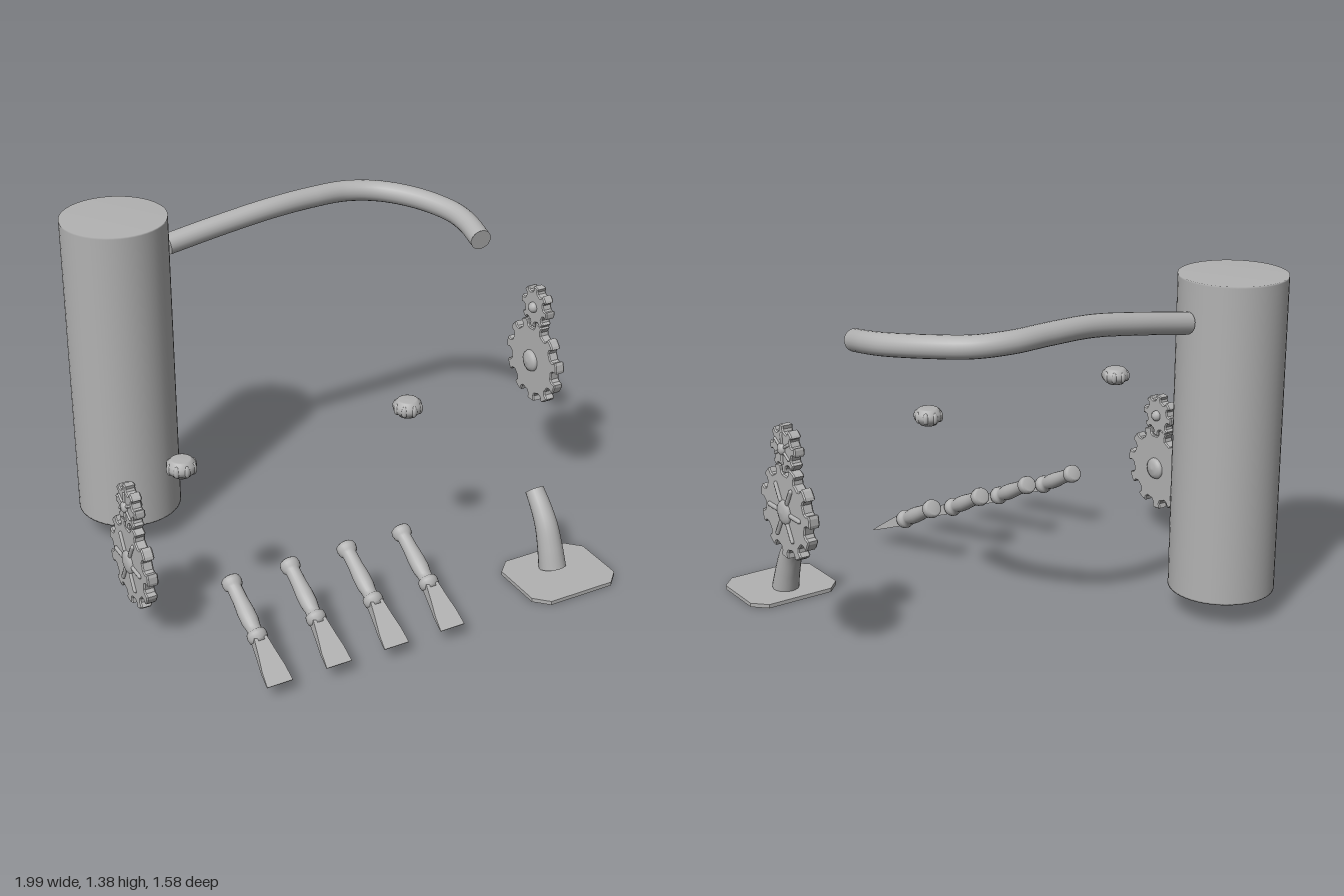
import * as THREE from 'three';

const steel = new THREE.MeshStandardMaterial({ color: 0xb2b2b2 });
steel.name = 'grey steel';

function add(parent, name, geometry, x = 0, y = 0, z = 0) {
  const mesh = new THREE.Mesh(geometry, steel);
  mesh.name = name;
  mesh.position.set(x, y, z);
  parent.add(mesh);
  return mesh;
}

function group(parent, name, x = 0, y = 0, z = 0) {
  const g = new THREE.Group();
  g.name = name;
  g.position.set(x, y, z);
  parent.add(g);
  return g;
}

// profile rows are [radius, height], listed from bottom to top
const lathe = (rows, sides) =>
  new THREE.LatheGeometry(rows.map(([r, h]) => new THREE.Vector2(r, h)), sides);

// round bar along a curve, tapering from r0 to r1, closed at both ends
function bar(parent, name, points, r0, r1, segments) {
  const curve = new THREE.CatmullRomCurve3(points.map(p => new THREE.Vector3(...p)));
  const sides = 20;
  const geo = new THREE.TubeGeometry(curve, segments, 1, sides);
  const pos = geo.attributes.position;
  const v = new THREE.Vector3();
  for (let i = 0; i < pos.count; i++) {
    const t = Math.floor(i / (sides + 1)) / segments;
    const c = curve.getPointAt(t);
    v.fromBufferAttribute(pos, i).sub(c).multiplyScalar(r0 + (r1 - r0) * t).add(c);
    pos.setXYZ(i, v.x, v.y, v.z);
  }
  const g = group(parent, name);
  add(g, name + 'Body', geo);
  [[0, r0, -1], [1, r1, 1]].forEach(([t, r, sign]) => {
    const c = curve.getPointAt(t);
    const cap = add(g, name + 'End', new THREE.CircleGeometry(r, sides), c.x, c.y, c.z);
    cap.quaternion.setFromUnitVectors(
      new THREE.Vector3(0, 0, 1), curve.getTangentAt(t).multiplyScalar(sign));
  });
}

// toothed wheel facing local +z
function gear(parent, name, o, y, z) {
  const g = group(parent, name, 0, y, z);
  const shape = new THREE.Shape();
  const pitch = Math.PI * 2 / o.teeth;
  for (let i = 0; i < o.teeth; i++) {
    [[-0.32, o.root], [-0.22, o.root + (o.tip - o.root) * 0.35], [-0.24, o.tip * 0.985], [-0.12, o.tip],
      [0.12, o.tip], [0.24, o.tip * 0.985], [0.22, o.root + (o.tip - o.root) * 0.35], [0.32, o.root]]
      .forEach(([f, r], k) => {
        const a = (i + f) * pitch + 0.08;
        shape[i + k ? 'lineTo' : 'moveTo'](Math.cos(a) * r, Math.sin(a) * r);
      });
  }
  shape.closePath();
  const wheel = new THREE.ExtrudeGeometry(shape, {
    depth: 0.034, bevelThickness: 0.005, bevelSize: 0.004, bevelOffset: -0.004, bevelSegments: 1,
  });
  add(g, 'toothedWheel', wheel, 0, 0, -0.017);
  // domed hub on both faces
  const h = o.hub;
  const hub = add(g, 'hub', lathe([
    [0, -0.045], [h * 0.55, -0.042], [h * 0.9, -0.034], [h, -0.022],
    [h, 0.022], [h * 0.9, 0.03], [h * 0.55, 0.036], [0, 0.038]], 20));
  hub.rotation.x = Math.PI / 2;
  // six raised ribs on the outer face
  for (let i = 0; i < 6; i++) {
    const arm = group(g, 'ribArm');
    arm.rotation.z = i * Math.PI / 3 + o.turn;
    const rib = add(arm, 'rib',
      new THREE.CapsuleGeometry(o.rib, o.ribEnd - o.ribStart - 2 * o.rib, 4, 8),
      (o.ribStart + o.ribEnd) / 2, 0, 0.023);
    rib.rotation.z = Math.PI / 2;
  }
}

export function createModel() {
  const model = new THREE.Group();
  model.name = 'workshopParts';

  // tall drum with softly shaded flat ends
  add(model, 'drum', lathe([
    [0, 0.105], [0.21, 0.105], [0.21, 0.112], [0.21, 1.368], [0.21, 1.375], [0, 1.375]], 48),
  -0.67, 0, -0.585);

  // curved spout
  bar(model, 'spout', [
    [-0.45, 1.215, -0.585], [-0.22, 1.25, -0.585], [0, 1.277, -0.585], [0.2, 1.283, -0.597],
    [0.36, 1.28, -0.597], [0.49, 1.272, -0.545], [0.6, 1.262, -0.42], [0.67, 1.245, -0.27],
    [0.68, 1.23, -0.17], [0.665, 1.207, -0.045]], 0.043, 0.043, 60);

  // gear pairs with their ribbed faces turned outwards
  const big = { teeth: 11, root: 0.147, tip: 0.182, hub: 0.047, rib: 0.0095, ribStart: 0.04, ribEnd: 0.12, turn: 0 };
  const small = { teeth: 8, root: 0.068, tip: 0.091, hub: 0.023, rib: 0.006, ribStart: 0.018, ribEnd: 0.062, turn: Math.PI / 6 };
  [[1, 0.607, 0.852, -0.043], [-1, 0.317, 0.557, 0.152]].forEach(([side, yBig, ySmall, z]) => {
    const pair = group(model, side > 0 ? 'leftGears' : 'rightGears', side * 0.957, 0, z);
    [['largeGear', big, yBig], ['smallGear', small, ySmall]].forEach(([name, o, y]) => {
      gear(pair, name, o, y, 0);
      pair.children[pair.children.length - 1].rotation.y = side * Math.PI / 2;
    });
  });

  // ribbed knobs
  [-0.795, 0.155].forEach(x => {
    const knob = group(model, 'knob', x, 0.735, 0.265);
    add(knob, 'knobBody', lathe([
      [0, -0.034], [0.034, -0.034], [0.036, -0.03], [0.054, -0.014], [0.056, 0],
      [0.054, 0.016], [0.04, 0.031], [0.034, 0.033], [0, 0.034]], 24));
    for (let i = 0; i < 8; i++) {
      const a = i * Math.PI / 4;
      const rib = add(knob, 'knobRib', new THREE.SphereGeometry(1, 10, 8),
        Math.cos(a) * 0.047, 0, Math.sin(a) * 0.047);
      rib.scale.set(0.013, 0.024, 0.013);
    }
  });

  // row of chisels, local y running from blade tip to handle end
  const bladeRows = [[0, 0.052, 0.002], [0.06, 0.047, 0.009], [0.12, 0.036, 0.016], [0.19, 0.025, 0.024]];
  for (let i = 0; i < 4; i++) {
    const chisel = group(model, 'chisel', -0.672 + i * 0.243, 0.062, 0.787);
    chisel.rotation.x = -Math.atan2(0.405, 0.22);
    add(chisel, 'handle', lathe([
      [0, 0.175], [0.026, 0.175], [0.027, 0.185], [0.037, 0.19], [0.039, 0.205], [0.036, 0.22],
      [0.028, 0.225], [0.028, 0.24], [0.033, 0.27], [0.033, 0.31], [0.029, 0.36], [0.028, 0.415],
      [0.036, 0.422], [0.039, 0.44], [0.036, 0.455], [0.028, 0.461], [0, 0.461]], 20));
    // flared wedge blade lofted from rectangular sections
    const verts = [];
    const index = [];
    bladeRows.forEach(([y, w, d]) => verts.push(-w, y, d, w, y, d, w, y, -d, -w, y, -d));
    for (let r = 0; r < bladeRows.length - 1; r++) {
      for (let k = 0; k < 4; k++) {
        const a = r * 4 + k, b = r * 4 + (k + 1) % 4;
        index.push(a, b, b + 4, a, b + 4, a + 4);
      }
    }
    index.push(0, 2, 1, 0, 3, 2);
    let blade = new THREE.BufferGeometry();
    blade.setAttribute('position', new THREE.Float32BufferAttribute(verts, 3));
    blade.setIndex(index);
    blade = blade.toNonIndexed();
    blade.computeVertexNormals();
    add(chisel, 'blade', blade);
  }

  // base plate with clipped corners
  const w = 0.197, d = 0.163, c = 0.055;
  const outline = new THREE.Shape([
    [-w + c, -d], [w - c, -d], [w, -d + c], [w, d - c], [w - c, d], [-w + c, d], [-w, d - c], [-w, -d + c],
  ].map(p => new THREE.Vector2(...p)));
  const plate = add(model, 'basePlate',
    new THREE.ExtrudeGeometry(outline, { depth: 0.016, bevelEnabled: false }), 0.665, 0, 0.605);
  plate.rotation.x = -Math.PI / 2;

  // bent tapering post on the plate
  bar(model, 'post', [
    [0.665, 0.018, 0.565], [0.665, 0.1, 0.54], [0.665, 0.18, 0.508],
    [0.665, 0.24, 0.466], [0.665, 0.297, 0.413]], 0.055, 0.038, 24);

  return model;
}
